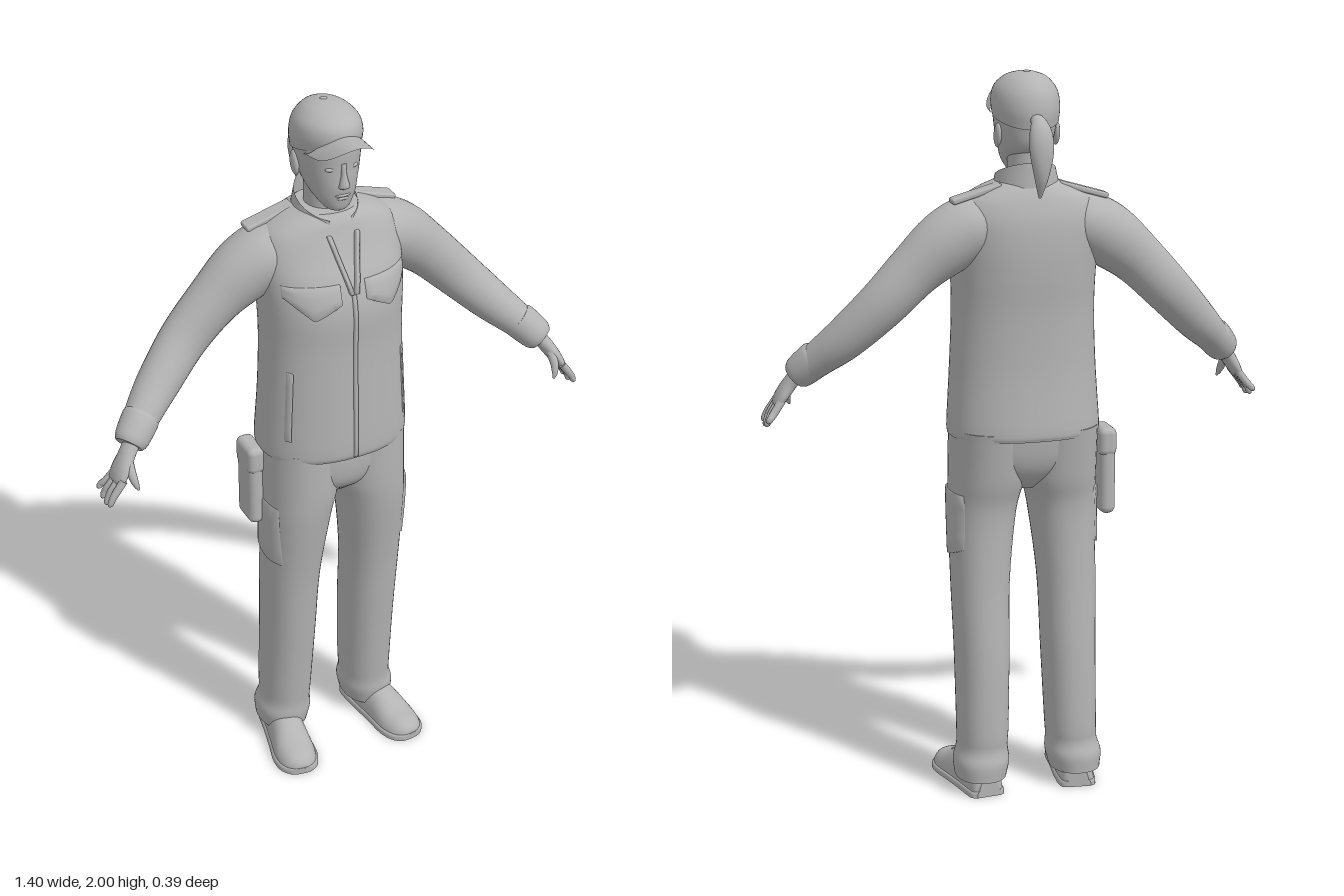
import * as THREE from 'three';
import { RoundedBoxGeometry } from 'three/addons/geometries/RoundedBoxGeometry.js';

const V3 = (x, y, z) => new THREE.Vector3(x, y, z);

// Smooth interpolation through rows of [x, y, z, a, b]
function spline(rows) {
  const c = new THREE.CatmullRomCurve3(rows.map(r => V3(r[0], r[1], r[2])), false, 'catmullrom', 0.5);
  const d = new THREE.CatmullRomCurve3(rows.map(r => V3(r[3], r[4], 0)), false, 'catmullrom', 0.5);
  return { c, d, at: t => [...c.getPoint(t).toArray(), ...d.getPoint(t).toArray()] };
}

// Section of a vertical sweep at height y
function sectionAt(sp, y) {
  let lo = 0, hi = 1;
  for (let i = 0; i < 24; i++) {
    const m = (lo + hi) / 2;
    if (sp.c.getPoint(m).y < y) lo = m; else hi = m;
  }
  return sp.at(lo);
}

// Rounded cross-sections swept along the rows, capped at both ends
function sweep(rows, { n = 32, per = 5, p = 2, axis = null, ref = V3(0, 0, 1), warp = null } = {}) {
  const sp = spline(rows), m = (rows.length - 1) * per, pos = [], idx = [];
  const pw = v => Math.sign(v) * Math.abs(v) ** (2 / p);
  for (let i = 0; i <= m; i++) {
    const [x, y, z, a, b] = sp.at(i / m);
    const T = axis || sp.c.getTangent(i / m);
    const V = ref.clone().addScaledVector(T, -ref.dot(T)).normalize();
    const U = new THREE.Vector3().crossVectors(T, V);
    for (let j = 0; j < n; j++) {
      const t = (j / n) * Math.PI * 2;
      const q = V3(x, y, z).addScaledVector(U, pw(Math.sin(t)) * a).addScaledVector(V, pw(Math.cos(t)) * b);
      if (warp) warp(q);
      pos.push(q.x, q.y, q.z);
    }
  }
  for (let i = 0; i < m; i++) for (let j = 0; j < n; j++) {
    const a = i * n + j, b = i * n + (j + 1) % n;
    idx.push(a, b, b + n, a, b + n, a + n);
  }
  for (const end of [0, m]) {
    const base = pos.length / 3, ring = pos.slice(end * n * 3, (end + 1) * n * 3);
    const mid = [0, 1, 2].map(k => ring.reduce((s, v, i) => s + (i % 3 === k ? v : 0), 0) / n);
    pos.push(...ring, ...mid);
    for (let j = 0; j < n; j++) {
      const a = base + j, b = base + (j + 1) % n;
      idx.push(...(end ? [a, b, base + n] : [b, a, base + n]));
    }
  }
  return toGeometry(pos, idx);
}

// Grid f(u, v, h); h is 0 on the border and 1 inside, so edges can sink in
function patch(f, nu = 12, nv = 8) {
  const pos = [], idx = [];
  for (let i = 0; i <= nu; i++) for (let j = 0; j <= nv; j++) {
    const edge = i === 0 || j === 0 || i === nu || j === nv;
    const u = i === 1 ? 0.01 : i === nu - 1 ? 0.99 : i / nu;
    const v = j === 1 ? 0.01 : j === nv - 1 ? 0.99 : j / nv;
    pos.push(...f(u, v, edge ? 0 : 1));
    if (i < nu && j < nv) {
      const a = i * (nv + 1) + j, b = a + nv + 1;
      idx.push(a, b, b + 1, a, b + 1, a + 1);
    }
  }
  return toGeometry(pos, idx);
}

function toGeometry(pos, idx) {
  const g = new THREE.BufferGeometry();
  g.setAttribute('position', new THREE.Float32BufferAttribute(pos, 3));
  g.setIndex(idx);
  g.computeVertexNormals();
  return g;
}

export function createModel() {
  const model = new THREE.Group();
  const grey = new THREE.MeshStandardMaterial({ color: 0xb4b4b4, side: THREE.DoubleSide });
  grey.name = 'plain grey';
  const add = (name, geo, at = [0, 0, 0], scale = [1, 1, 1]) => {
    const mesh = new THREE.Mesh(geo, grey);
    mesh.name = name;
    mesh.position.set(...at);
    mesh.scale.set(...scale);
    model.add(mesh);
    return mesh;
  };
  const Y = V3(0, 1, 0), ball = new THREE.SphereGeometry(1, 20, 14);
  const flip = (rows, s) => rows.map(r => [s * r[0], ...r.slice(1)]);
  const lerp = THREE.MathUtils.lerp;

  // Jacket body
  const jacket = [
    [0, 1.02, 0.005, 0.208, 0.155], [0, 1.05, 0.006, 0.209, 0.16], [0, 1.2, 0.01, 0.2, 0.152],
    [0, 1.35, 0.008, 0.194, 0.15], [0, 1.46, 0.004, 0.196, 0.155], [0, 1.54, -0.007, 0.2, 0.147],
    [0, 1.61, -0.022, 0.2, 0.127], [0, 1.66, -0.026, 0.18, 0.109], [0, 1.69, -0.025, 0.135, 0.096],
    [0, 1.712, -0.025, 0.08, 0.08]];
  add('jacket', sweep(jacket, { n: 64, p: 2.3, axis: Y }));
  const jacketSpline = spline(jacket);
  const chest = (x, y, off) => {
    const [, , z, a, b] = sectionAt(jacketSpline, y);
    return [x, y, z + b * Math.max(0, 1 - Math.abs(x / a) ** 2.3) ** (1 / 2.3) + off];
  };
  const lift = h => (h ? 0.006 : -0.005);
  add('zipPlacket', patch((u, v, h) => chest(lerp(-0.006, 0.006, u), lerp(1.025, 1.53, v), lift(h) - 0.002), 4, 24));

  // Open standing collar, higher at the back
  add('collar', patch((u, v) => {
    const t = lerp(0.38, Math.PI * 2 - 0.38, u), c = Math.cos(t);
    return [lerp(0.094, 0.08, v) * Math.sin(t), lerp(1.67 - 0.03 * c, 1.732 - 0.034 * c, v),
      -0.018 + lerp(0.1, 0.094, v) * c];
  }, 40, 6));

  for (const s of [1, -1]) {
    // Jacket details
    add('lapel', patch((u, v, h) =>
      chest(s * (lerp(0, 0.034, v) + lerp(0, 0.012, u)), lerp(1.52, 1.665, v), h ? 0.01 : -0.005), 5, 10));
    add('chestPocketFlap', patch((u, v, h) => {
      const x = lerp(0.035, 0.175, u);
      const low = x < 0.11 ? lerp(1.5, 1.46, (x - 0.035) / 0.075) : lerp(1.46, 1.52, (x - 0.11) / 0.065);
      return chest(s * x, lerp(low, 1.55, v), lift(h));
    }, 14, 6));
    add('hipPocketWelt', patch((u, v, h) =>
      chest(s * (lerp(0.158, 0.17, u) + 0.01 * (1 - v)), lerp(1.09, 1.3, v), lift(h)), 4, 10));
    add('shoulderStrap', new RoundedBoxGeometry(0.14, 0.016, 0.046, 3, 0.006), [s * 0.147, 1.684, -0.058])
      .rotation.z = -s * 0.28;

    // Sleeve and cuff
    add('sleeve', sweep(flip([
      [0.1, 1.6, -0.035, 0.07, 0.08], [0.16, 1.59, -0.037, 0.085, 0.093], [0.23, 1.55, -0.042, 0.086, 0.085],
      [0.31, 1.485, -0.043, 0.073, 0.068], [0.4, 1.395, -0.038, 0.066, 0.06], [0.49, 1.305, -0.002, 0.058, 0.057],
      [0.55, 1.25, 0.035, 0.049, 0.05], [0.59, 1.21, 0.065, 0.042, 0.043]], s)));
    add('cuff', sweep(flip([
      [0.555, 1.25, 0.042, 0.044, 0.045], [0.565, 1.24, 0.048, 0.05, 0.05],
      [0.6, 1.205, 0.072, 0.046, 0.046], [0.612, 1.193, 0.08, 0.038, 0.038]], s), { per: 3 }));

    // Hand with four fingers and a thumb
    add('palm', sweep(flip([
      [0.595, 1.21, 0.075, 0.021, 0.026], [0.622, 1.175, 0.09, 0.02, 0.029], [0.645, 1.14, 0.1, 0.018, 0.039],
      [0.66, 1.115, 0.105, 0.013, 0.038], [0.664, 1.108, 0.106, 0.006, 0.03]], s), { n: 20 }));
    for (let k = 0; k < 4; k++) {
      const z = 0.075 + k * 0.02, e = 0.058 + k * 0.026, d = [0.018, 0.004, 0, 0.008][k];
      add('finger', sweep(flip([
        [0.652, 1.125, z, 0.011, 0.011], [0.676, 1.093, (z + e) / 2, 0.0105, 0.0105],
        [0.687, 1.072 + d / 2, e, 0.009, 0.009], [0.692, 1.055 + d, e, 0.0075, 0.0075],
        [0.692, 1.05 + d, e, 0.002, 0.002]], s), { n: 10, per: 3 }));
    }
    add('thumb', sweep(flip([
      [0.625, 1.172, 0.1, 0.012, 0.014], [0.628, 1.14, 0.132, 0.012, 0.013],
      [0.624, 1.115, 0.147, 0.009, 0.009], [0.618, 1.098, 0.152, 0.003, 0.003]], s), { n: 10, per: 3 }));

    // Trouser leg with bunched hem
    const leg = flip([
      [0.137, 0.045, -0.04, 0.07, 0.086], [0.134, 0.09, -0.037, 0.077, 0.09], [0.13, 0.13, -0.032, 0.07, 0.084],
      [0.128, 0.19, -0.03, 0.071, 0.088], [0.125, 0.4, -0.015, 0.075, 0.095], [0.124, 0.6, 0.003, 0.08, 0.098],
      [0.113, 0.8, 0.02, 0.092, 0.111], [0.102, 0.9, 0.014, 0.103, 0.126], [0.1, 1.04, 0.003, 0.104, 0.138]], s);
    add('trouserLeg', sweep(leg, { n: 40, p: 2.2, axis: Y }));
    const legSpline = spline(leg);
    add('thighPocket', patch((u, v, h) => {
      const z = lerp(-0.06, 0.085, u), y = lerp(0.67 + 0.035 * (1 - u) ** 2, 0.86, v);
      const [x, , cz, a, b] = sectionAt(legSpline, y);
      const side = a * Math.max(0, 1 - Math.abs((z - cz) / b) ** 2.2) ** (1 / 2.2);
      return [x + s * (side + lift(h)), y, z];
    }));

    // Shoe and sole, flat underneath and toes turned out
    const shoe = flip([
      [0.13, 0, -0.112, 0.03, 0.055], [0.132, 0, -0.095, 0.046, 0.08], [0.142, 0, -0.02, 0.052, 0.1],
      [0.155, 0, 0.05, 0.055, 0.092], [0.167, 0, 0.12, 0.06, 0.062], [0.174, 0, 0.165, 0.05, 0.05],
      [0.178, 0, 0.188, 0.028, 0.034], [0.179, 0, 0.194, 0.008, 0.015]], s);
    const flat = { p: 2.4, ref: Y, warp: q => { q.y = Math.max(0, q.y); } };
    add('shoe', sweep(shoe, flat));
    add('sole', sweep(shoe.map(r => [r[0], 0, r[2], r[3] + 0.005, 0.02]), { ...flat, p: 5 }));

    // Ear and eye
    add('ear', ball, [s * 0.08, 1.832, -0.035], [0.01, 0.033, 0.019]).rotation.x = -0.25;
    add('eye', ball, [s * 0.031, 1.85, 0.074], [0.015, 0.007, 0.009]);
  }

  // Hips joining the legs
  add('hips', sweep([
    [0, 0.865, 0.012, 0.03, 0.06], [0, 0.91, 0.012, 0.12, 0.108], [0, 0.96, 0.008, 0.18, 0.128],
    [0, 1.04, 0.003, 0.2, 0.136]], { n: 48, p: 2.3, axis: Y }));

  // Pouch hanging at the right hip
  add('pouch', new RoundedBoxGeometry(0.044, 0.24, 0.095, 5, 0.02), [-0.223, 0.9, -0.03]);
  add('pouchFlap', new RoundedBoxGeometry(0.05, 0.08, 0.1, 4, 0.018), [-0.222, 0.985, -0.03]);

  // Neck and head
  add('neck', sweep([[0, 1.62, -0.035, 0.06, 0.065], [0, 1.7, -0.032, 0.052, 0.058],
    [0, 1.79, -0.03, 0.051, 0.058]], { axis: Y }));
  add('head', sweep([
    [0, 1.722, 0.048, 0.014, 0.016], [0, 1.733, 0.04, 0.034, 0.036], [0, 1.765, 0.018, 0.056, 0.065],
    [0, 1.8, -0.006, 0.068, 0.094], [0, 1.85, -0.014, 0.079, 0.101], [0, 1.9, -0.016, 0.082, 0.104],
    [0, 1.95, -0.018, 0.07, 0.09]], { n: 40, p: 2.2, axis: Y }));
  add('nose', sweep([
    [0, 1.793, 0.083, 0.008, 0.005], [0, 1.8, 0.089, 0.015, 0.013], [0, 1.81, 0.09, 0.013, 0.014],
    [0, 1.835, 0.085, 0.008, 0.011], [0, 1.865, 0.083, 0.008, 0.007]], { n: 16, axis: Y }));
  add('upperLip', ball, [0, 1.774, 0.08], [0.022, 0.005, 0.009]);
  add('lowerLip', ball, [0, 1.765, 0.077], [0.018, 0.006, 0.01]);
  add('chin', ball, [0, 1.741, 0.062], [0.024, 0.015, 0.015]);

  // Cap, lower at the back, with an arched brim
  add('cap', sweep([
    [0, 1.885, -0.018, 0.087, 0.111], [0, 1.92, -0.018, 0.09, 0.115], [0, 1.955, -0.018, 0.082, 0.104],
    [0, 1.982, -0.02, 0.057, 0.073], [0, 1.994, -0.022, 0.028, 0.036], [0, 1.997, -0.022, 0.006, 0.008]],
  { n: 48, axis: Y, warp: q => { q.y += 2.2 * q.z * (2 - q.y); } }));
  add('capButton', ball, [0, 1.995, -0.03], [0.01, 0.005, 0.01]);
  add('capBrim', patch((u, v) => {
    const w = Math.sin((u - 0.5) * Math.PI), c = Math.cos((u - 0.5) * Math.PI);
    return [w * lerp(0.084, 0.08, v), 1.942 - 0.058 * w * w + 0.003 * v,
      lerp(0.025 + 0.055 * c, 0.03 + 0.146 * c ** 0.75, v)];
  }, 32, 10));

  // Ponytail
  add('ponytail', sweep([
    [0, 1.68, -0.158, 0.003, 0.004], [0, 1.735, -0.172, 0.016, 0.019], [0, 1.8, -0.175, 0.021, 0.032],
    [0, 1.85, -0.165, 0.021, 0.03], [0, 1.876, -0.142, 0.017, 0.02], [0, 1.878, -0.11, 0.014, 0.016]],
  { n: 24, ref: V3(1, 0, 0) }));

  return model;
}
